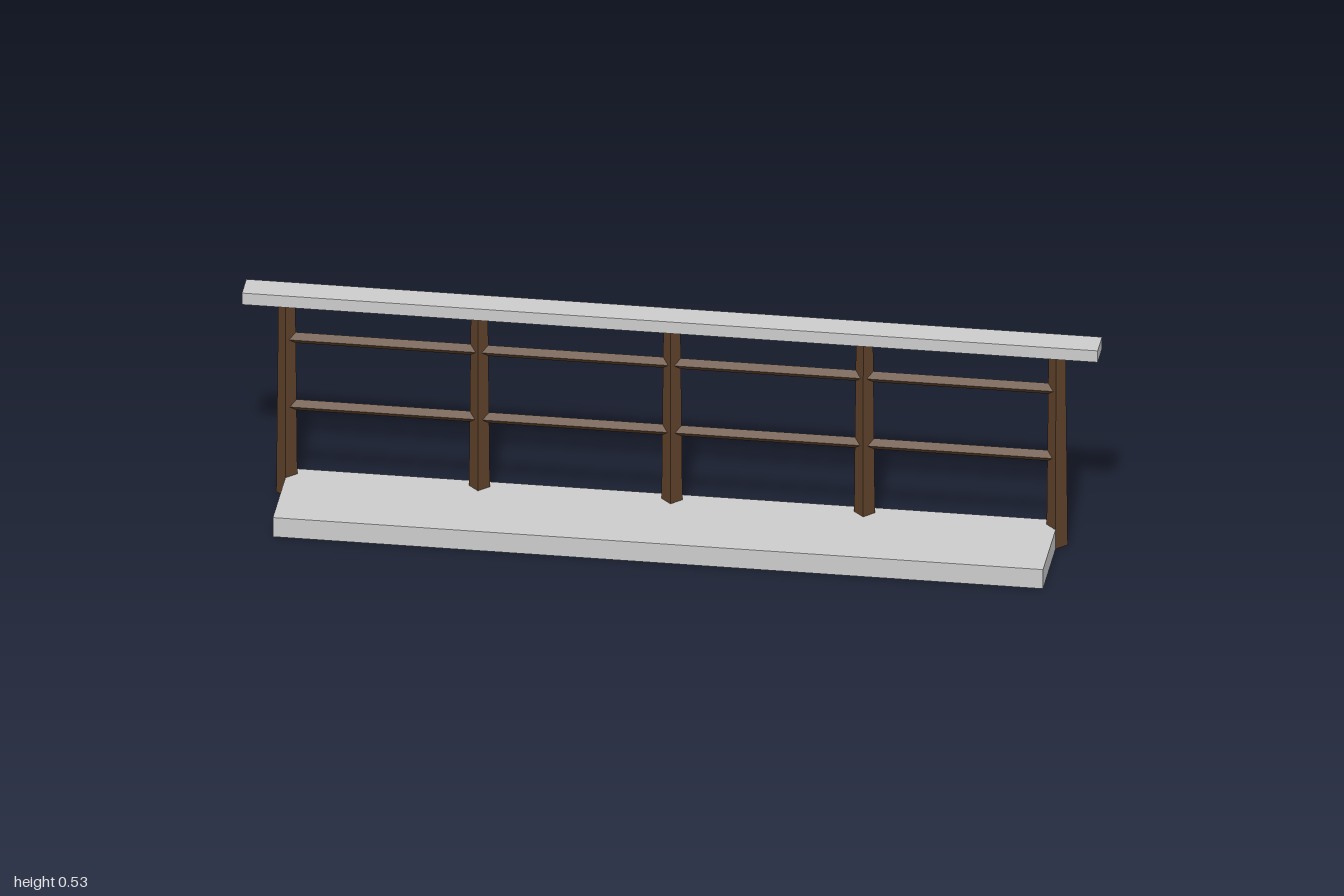
import * as THREE from 'three';

export function createModel() {
  const group = new THREE.Group();
  const grey = new THREE.MeshStandardMaterial({ color: 0xcccccc });
  const wood = new THREE.MeshStandardMaterial({ color: 0x5c4028, flatShading: true });
  const railZ = -0.095;

  function add(name, geometry, material, x, y, z) {
    const mesh = new THREE.Mesh(geometry, material);
    mesh.name = name;
    mesh.position.set(x, y, z);
    group.add(mesh);
    return mesh;
  }

  // Walkway slab and flat handrail
  add('deck', new THREE.BoxGeometry(1.8, 0.05, 0.25), grey, 0, 0.025, 0.005);
  add('handrail', new THREE.BoxGeometry(2, 0.03, 0.07), grey, 0, 0.515, railZ);

  // Tapered four-sided posts, corners facing front and sides
  const postGeometry = new THREE.CylinderGeometry(0.02, 0.025, 0.5, 4);
  for (let i = -2; i <= 2; i++) {
    add('post', postGeometry, wood, i * 0.45, 0.25, railZ);
  }

  // Thin four-sided horizontal rails
  const railGeometry = new THREE.CylinderGeometry(0.014, 0.014, 1.8, 4);
  railGeometry.rotateZ(Math.PI / 2);
  for (const y of [0.23, 0.405]) add('rail', railGeometry, wood, 0, y, railZ);

  return group;
}
